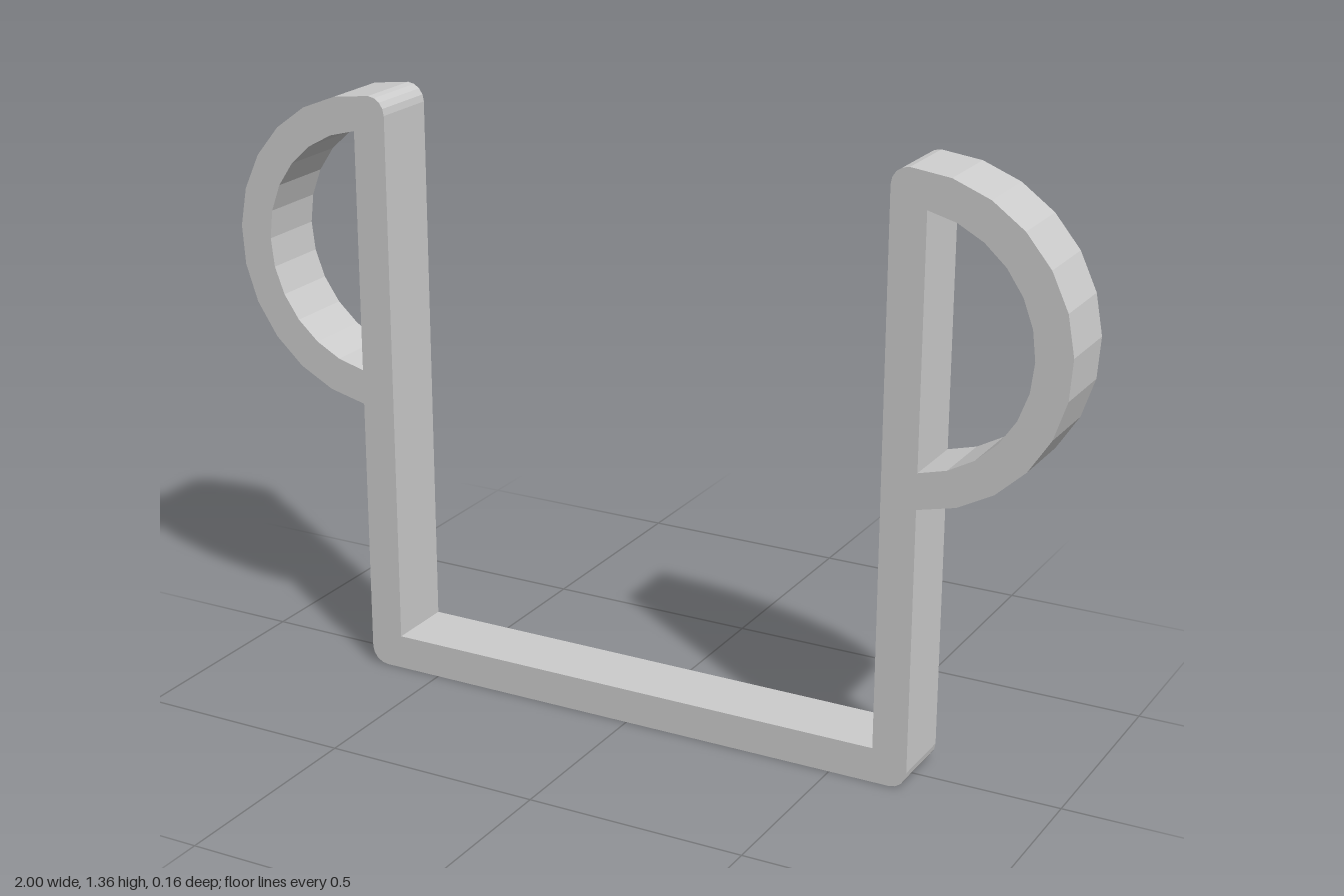
import * as THREE from 'three';

const DEPTH = 0.16;

// Points along a circular arc, angles in degrees
function arc(cx, cy, r, from, to, steps) {
  return Array.from({ length: steps + 1 }, (_, i) => {
    const a = THREE.MathUtils.degToRad(from + ((to - from) * i) / steps);
    return new THREE.Vector2(cx + r * Math.cos(a), cy + r * Math.sin(a));
  });
}

const mirror = (points) => points.map((p) => new THREE.Vector2(-p.x, p.y)).reverse();

export function createModel() {
  const group = new THREE.Group();
  group.name = 'bracket';
  const grey = new THREE.MeshStandardMaterial({ color: 0xcccccc });
  grey.name = 'light grey';

  // Angles at which the loop meets the outer face of the upright
  const outerEnd = THREE.MathUtils.radToDeg(Math.acos(0.04 / 0.36));
  const innerEnd = THREE.MathUtils.radToDeg(Math.acos(0.04 / 0.28));

  // Right half of the outline, from the bottom centre round to the inner floor
  const half = [
    ...arc(0.64, 0.04, 0.04, -90, 0, 4), // rounded foot
    ...arc(0.64, 1, 0.36, -outerEnd, 90, 12), // outside of the loop
    ...arc(0.64, 1.32, 0.04, 90, 180, 4).slice(1), // rounded tip
    new THREE.Vector2(0.6, 0.08), // inner corner
  ];
  const outline = new THREE.Shape([...half, ...mirror(half)]);

  // D-shaped opening inside each loop
  const opening = arc(0.64, 1, 0.28, -innerEnd, innerEnd, 12);
  outline.holes.push(new THREE.Path(opening), new THREE.Path(mirror(opening)));

  const geometry = new THREE.ExtrudeGeometry(outline, { depth: DEPTH, bevelEnabled: false });
  geometry.translate(0, 0, -DEPTH / 2);
  const frame = new THREE.Mesh(geometry, grey);
  frame.name = 'loopedFrame';
  group.add(frame);
  return group;
}
